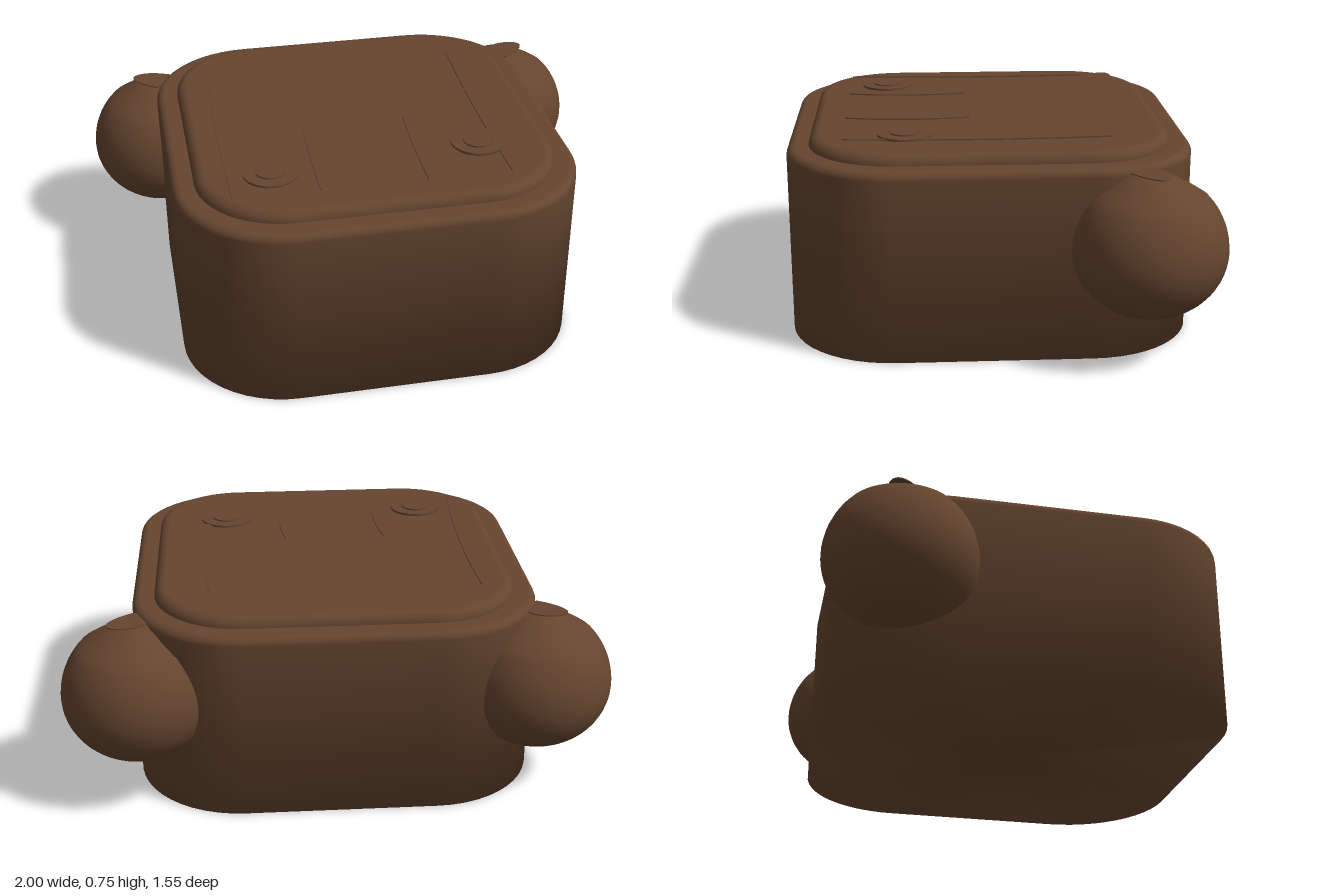
import * as THREE from 'three';

// Rounded rectangle outline in (x, z)
function outline(hw, hd, r, steps = 12) {
  const pts = [];
  const corners = [[1, 1], [-1, 1], [-1, -1], [1, -1]];
  corners.forEach(([sx, sz], q) => {
    for (let i = 0; i <= steps; i++) {
      const a = (q + i / steps) * Math.PI / 2;
      pts.push([sx * (hw - r) + r * Math.cos(a), sz * (hd - r) + r * Math.sin(a)]);
    }
  });
  return pts;
}

// Closed soft-shaded rounded block; profile is a list of [inset, y] from bottom to top
function block(hw, hd, r, zc, profile) {
  const pos = [], idx = [];
  const n = outline(hw, hd, r).length, last = (profile.length - 1) * n;
  profile.forEach(([d, y]) =>
    outline(hw - d, hd - d, r - d).forEach(([x, z]) => pos.push(x, y, z + zc)));
  const low = profile.length * n, high = low + 1;
  pos.push(0, profile[0][1], zc, 0, profile[profile.length - 1][1], zc);
  for (let i = 0; i < n; i++) {
    const j = (i + 1) % n;
    for (let k = 0; k < last; k += n) idx.push(k + i, k + n + i, k + j, k + j, k + n + i, k + n + j);
    idx.push(i, j, low, last + i, high, last + j);
  }
  const geo = new THREE.BufferGeometry();
  geo.setAttribute('position', new THREE.Float32BufferAttribute(pos, 3));
  geo.setIndex(idx);
  geo.computeVertexNormals();
  return geo;
}

// Quarter-round edge ending at height y
function fillet(r, y) {
  const out = [];
  for (let i = 0; i <= 6; i++) {
    const a = i / 6 * Math.PI / 2;
    out.push([r * (1 - Math.cos(a)), y - r + r * Math.sin(a)]);
  }
  return out;
}

// Ball with a flatter underside and a shallow faceted crown
function earGeometry() {
  const pts = [];
  for (let i = 0; i <= 24; i++) {
    const a = -Math.PI / 2 + i / 24 * (Math.PI / 2 + 0.76);
    pts.push(new THREE.Vector2(0.275 * Math.cos(a), Math.sin(a) * (a < 0 ? 0.245 : 0.275)));
  }
  [[0.165, 0.212], [0.1, 0.25], [0.05, 0.27], [0, 0.274]].forEach(p => pts.push(new THREE.Vector2(...p)));
  return new THREE.LatheGeometry(pts, 48);
}

// Thin flat plate lying on top, drawn in (x, z)
function plate(shape, thickness) {
  const geo = new THREE.ExtrudeGeometry(shape, { depth: thickness, bevelEnabled: false, curveSegments: 20 });
  return geo.rotateX(Math.PI / 2);
}

// Slim tapered stroke between two points with a sideways bow
function stroke(x0, z0, x1, z1, bow, w) {
  const s = new THREE.Shape();
  const mx = (x0 + x1) / 2 + bow, mz = (z0 + z1) / 2;
  s.moveTo(x0, z0);
  s.quadraticCurveTo(mx + w, mz, x1, z1);
  s.quadraticCurveTo(mx - w, mz, x0, z0);
  return s;
}

export function createModel() {
  const group = new THREE.Group();
  const brown = new THREE.MeshStandardMaterial({ color: 0x65452f, side: THREE.DoubleSide });
  brown.name = 'brown';
  const add = (name, geo, x = 0, y = 0, z = 0) => {
    const mesh = new THREE.Mesh(geo, brown);
    mesh.name = name;
    mesh.position.set(x, y, z);
    group.add(mesh);
    return mesh;
  };

  // Main block with a flat bottom, and the raised panel on top
  add('body', block(0.74, 0.74, 0.39, 0.035, [[0, 0], ...fillet(0.03, 0.702)]));
  add('topPanel', block(0.66, 0.66, 0.32, 0.035, [[0, 0.69], ...fillet(0.04, 0.741)]));

  // Ears, each with a little teardrop plate
  for (const side of [1, -1]) {
    const label = side > 0 ? 'left' : 'right';
    add(label + 'Ear', earGeometry(), side * 0.725, 0.41, -0.505);
    const drop = new THREE.Shape();
    drop.moveTo(0.73, -0.43);
    drop.bezierCurveTo(0.80, -0.47, 0.86, -0.54, 0.79, -0.56);
    drop.bezierCurveTo(0.74, -0.57, 0.69, -0.55, 0.68, -0.52);
    drop.bezierCurveTo(0.68, -0.48, 0.70, -0.44, 0.73, -0.43);
    add(label + 'EarPlate', plate(drop, 0.004), 0, 0.687, 0).scale.x = side;
  }

  // Markings on the panel: round studs and long and short strokes, slightly askew
  const marks = [
    { label: 'left', stud: [0.39, 0.345], long: [0.455, 0.57, 0.46, -0.4], short: [0.15, 0.57, 0.16, 0.1] },
    { label: 'right', stud: [-0.39, 0.42], long: [-0.545, 0.57, -0.53, -0.4], short: [-0.235, 0.57, -0.225, 0.11] },
  ];
  for (const { label, stud: [x, z], long, short } of marks) {
    add(label + 'Disc', new THREE.CylinderGeometry(0.1, 0.1, 0.009, 40), x, 0.745, z);
    add(label + 'Stud', new THREE.CylinderGeometry(0.055, 0.055, 0.006, 32), x, 0.752, z);
    add(label + 'LongStroke', plate(stroke(...long, 0.01, 0.03), 0.006), 0, 0.746, 0);
    add(label + 'ShortStroke', plate(stroke(...short, 0.02, 0.03), 0.006), 0, 0.746, 0);
  }
  return group;
}
